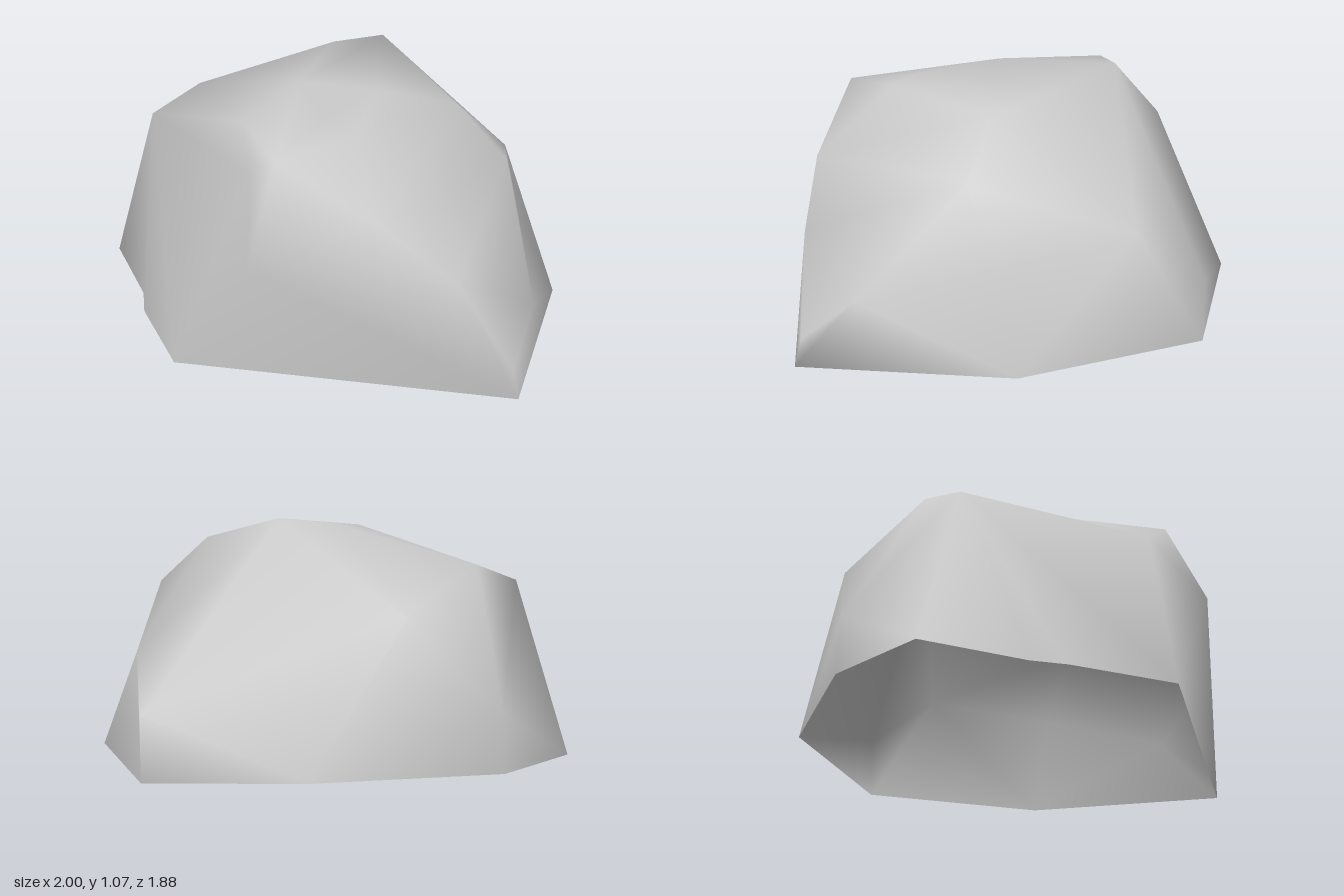
import * as THREE from 'three';
import { ConvexGeometry } from 'three/addons/geometries/ConvexGeometry.js';
import { mergeVertices } from 'three/addons/utils/BufferGeometryUtils.js';

// Corners of the boulder, [x, y, z], grouped by height. A fourth number marks
// a dented corner: the share by which it is lifted while the skin is wrapped.
const rim = [
  [1, .03, .08], [.74, 0, .94], [-.65, 0, .65], [-.82, .01, .23, .015], [-.84, .02, .08, .05],
  [-1, .04, -.33], [-.66, .05, -.67], [.15, .1, -.945], [.8, .05, -.7],
];
const walls = [
  [.72, .11, .912], [.815, .3, .7], [.49, .48, .882], [-.33, .52, .82],
  [-.65, .3, -.66], [.8, .32, -.7], [.82, .53, -.42, .07], [.82, .42, .15, .06],
];
const shoulders = [
  [.74, .74, .25], [.2, .7, .825], [-.32, .82, .59, .08], [-.79, .78, -.19], [-.25, .7, -.72],
];
const crown = [
  [.53, .945, .13], [.1, .965, .5], [-.22, .912, .67], [-.02, .978, .4], [-.37, .895, .2, .04],
  [-.13, 1.005, .02], [.2, .978, .05, .06], [-.59, .865, -.35], [.02, 1.045, -.4], [.24, 1.07, -.42],
];

// Keeps every triangle of a hull except those facing the ground.
function openBase(hull) {
  const position = hull.getAttribute('position');
  const tri = new THREE.Triangle();
  const normal = new THREE.Vector3();
  const kept = [];
  for (let i = 0; i < position.count; i += 3) {
    tri.setFromAttributeAndIndices(position, i, i + 1, i + 2);
    if (tri.getNormal(normal).y < -.7) continue;
    kept.push(...tri.a, ...tri.b, ...tri.c);
  }
  const shell = new THREE.BufferGeometry();
  shell.setAttribute('position', new THREE.Float32BufferAttribute(kept, 3));
  return mergeVertices(shell);
}

// Wraps the lifted corners in a hull, then lets the dented ones sink back.
function wrap(corners) {
  const lifted = corners.map(([x, y, z, lift = 0]) => new THREE.Vector3(x, y, z).multiplyScalar(1 + lift));
  const shell = openBase(new ConvexGeometry(lifted));
  const position = shell.getAttribute('position');
  const point = new THREE.Vector3();
  for (let i = 0; i < position.count; i++) {
    point.fromBufferAttribute(position, i);
    const [x, y, z] = corners[lifted.findIndex((p) => p.distanceTo(point) < 1e-4)];
    position.setXYZ(i, x, y, z);
  }
  shell.computeVertexNormals();
  return shell;
}

export function createModel() {
  const model = new THREE.Group();
  model.name = 'rock';
  const stone = new THREE.MeshStandardMaterial({ color: 0xc8c8c8, side: THREE.DoubleSide });
  stone.name = 'grey stone';

  // Few large faces, shaded smoothly across shared corners, hollow underneath
  const boulder = new THREE.Mesh(wrap([...rim, ...walls, ...shoulders, ...crown]), stone);
  boulder.name = 'boulder';
  model.add(boulder);
  return model;
}
